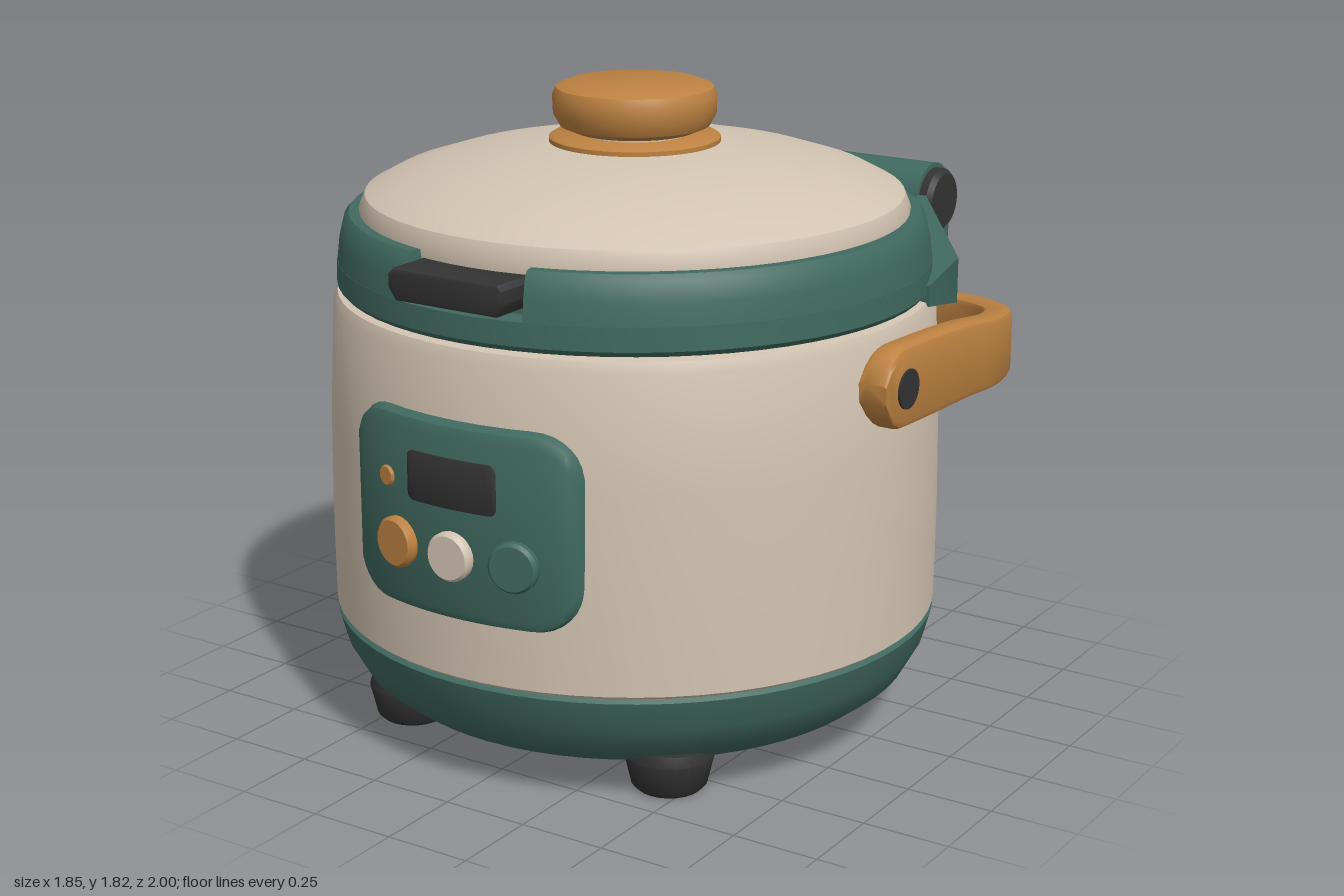
import * as THREE from 'three';
import { toCreasedNormals } from 'three/addons/utils/BufferGeometryUtils.js';

const CZ = 0.08; // z of the pot's axis

const paint = (name, color, side = THREE.FrontSide) => {
  const m = new THREE.MeshStandardMaterial({ color, side });
  m.name = name;
  return m;
};

// Skin over closed loops of points, capped at both ends
function loft(loops) {
  const n = loops[0].length, pos = [], idx = [];
  loops.forEach(l => l.forEach(p => pos.push(p.x, p.y, p.z)));
  for (let i = 0; i < loops.length - 1; i++) {
    for (let j = 0; j < n; j++) {
      const a = i * n + j, b = i * n + (j + 1) % n;
      idx.push(a, b, b + n, a, b + n, a + n);
    }
  }
  const e = (loops.length - 1) * n;
  for (let j = 1; j < n - 1; j++) idx.push(0, j + 1, j, e, e + j, e + j + 1);
  const g = new THREE.BufferGeometry();
  g.setAttribute('position', new THREE.Float32BufferAttribute(pos, 3));
  g.setIndex(idx);
  return g;
}

// How far the curved front falls back at x
const sag = x => 0.89 - Math.sqrt(0.89 * 0.89 - x * x);

// Rounded rectangular plate bent around the front of the pot
function bentPlate(cx, cy, w, h, r, back, front, bevel) {
  const loops = [], steps = 28;
  for (let i = 0; i <= steps; i++) {
    const u = -Math.cos(Math.PI * i / steps) * w / 2;
    const over = Math.max(0, Math.abs(u) - (w / 2 - r));
    const half = h / 2 - r + Math.sqrt(Math.max(0, r * r - over * over));
    const edge = Math.min(1, (w / 2 - Math.abs(u)) / bevel);
    const drop = bevel * (1 - Math.sqrt(1 - (1 - edge) ** 2));
    const x = cx + u, s = sag(x), f = front - s - drop;
    const b = Math.min(bevel, half * 0.5);
    const section = [[half, back - s], [half, f - b], [half - b * 0.3, f - b * 0.3], [half - b, f]];
    const mirrored = section.map(([y, z]) => [-y, z]).reverse();
    loops.push([...section, ...mirrored].map(([y, z]) => new THREE.Vector3(x, cy + y, z)));
  }
  return loft(loops);
}

export function createModel() {
  const model = new THREE.Group();
  model.name = 'riceCooker';
  const green = paint('deep green', 0x40695f, THREE.DoubleSide);
  const cream = paint('cream', 0xd3c4b2);
  const wood = paint('warm wood', 0xbd8241);
  const black = paint('charcoal', 0x333333);

  const add = (name, geo, mat, x = 0, y = 0, z = 0, crease = 0.6) => {
    const mesh = new THREE.Mesh(toCreasedNormals(geo, crease), mat);
    mesh.name = name;
    mesh.position.set(x, y, z);
    model.add(mesh);
    return mesh;
  };
  const turned = (name, pts, mat, start = 0, length = Math.PI * 2) =>
    add(name, new THREE.LatheGeometry(pts.map(p => new THREE.Vector2(...p)), 64, start, length), mat, 0, 0, CZ);

  // Pot
  turned('base', [[0, 0.08], [0.64, 0.08], [0.73, 0.105], [0.8, 0.16], [0.845, 0.24], [0.867, 0.325], [0.855, 0.335], [0.8, 0.335]], green);
  turned('body', [[0.85, 0.33], [0.868, 0.345], [0.87, 0.6], [0.866, 0.9], [0.85, 1.22], [0.838, 1.25], [0.8, 1.255]], cream);
  for (const sx of [-1, 1]) for (const sz of [-1, 1]) {
    const foot = [[0, 0], [0.09, 0], [0.105, 0.015], [0.125, 0.1], [0.115, 0.13], [0, 0.13]];
    add('foot', new THREE.LatheGeometry(foot.map(p => new THREE.Vector2(...p)), 24), black, sx * 0.44, 0, CZ + sz * 0.5);
  }

  // Lid rim, with a notch at the front for the latch
  const notch = 0.235;
  turned('lowerRim', [[0.78, 1.26], [0.825, 1.26], [0.838, 1.275], [0.836, 1.34], [0.76, 1.34]], green);
  const rim = [[0.765, 1.33], [0.836, 1.33], [0.828, 1.4], [0.814, 1.455], [0.8, 1.47], [0.765, 1.47]];
  turned('upperRim', rim, green, notch, Math.PI * 2 - 2 * notch);
  for (const s of [-1, 1]) {
    const end = new THREE.ShapeGeometry(new THREE.Shape(rim.map(p => new THREE.Vector2(...p))));
    add('rimEnd', end, green, 0, 0, CZ).rotation.y = s * notch - Math.PI / 2;
  }
  turned('rimInner', [[0.76, 1.33], [0.76, 1.44]], green);

  // Lid and knob
  turned('lid', [[0.765, 1.43], [0.772, 1.48], [0.755, 1.52], [0.68, 1.56], [0.55, 1.602], [0.4, 1.635], [0.22, 1.658], [0, 1.665]], cream);
  turned('knobCollar', [[0.24, 1.645], [0.24, 1.668], [0.225, 1.677], [0, 1.677]], wood);
  turned('knobNeck', [[0.15, 1.67], [0.15, 1.7]], cream);
  turned('knob', [[0, 1.685], [0.17, 1.685], [0.21, 1.702], [0.228, 1.735], [0.23, 1.785], [0.22, 1.808], [0.19, 1.82], [0, 1.822]], wood);

  // Latch: a wide grip narrowing downwards
  const latch = new THREE.Shape();
  latch.moveTo(-0.155, 0).lineTo(0.155, 0).lineTo(0.175, 0.03).lineTo(0.175, 0.06);
  latch.lineTo(0.165, 0.07).lineTo(-0.165, 0.07).lineTo(-0.175, 0.06).lineTo(-0.175, 0.03);
  add('latch', new THREE.ExtrudeGeometry(latch, { depth: 0.17, bevelSize: 0.008, bevelThickness: 0.01, bevelSegments: 2 }), black, 0, 1.37, 0.785);

  // Control panel
  add('controlPanel', bentPlate(0, 0.785, 0.73, 0.55, 0.13, 0.87, 0.975, 0.035), green);
  add('screen', bentPlate(0.01, 0.898, 0.285, 0.14, 0.022, 0.97, 0.979, 0.004), black);
  const button = (name, x, y, r, depth, mat) => {
    const pts = [[0, 0], [r, 0], [r, depth * 0.7], [r * 0.88, depth], [0, depth]];
    const geo = new THREE.LatheGeometry(pts.map(p => new THREE.Vector2(...p)), 28).rotateX(Math.PI / 2);
    add(name, geo, mat, x, y, 0.967 - sag(x)).rotation.y = Math.asin(x / 0.89);
  };
  button('startButton', -0.17, 0.7, 0.07, 0.033, wood);
  button('menuButton', 0.015, 0.7, 0.068, 0.033, cream);
  button('cancelButton', 0.2, 0.7, 0.07, 0.033, green);
  button('indicator', -0.21, 0.875, 0.028, 0.016, wood);

  // Carrying handle, swept around the back
  const side = [[0.872, 1.105, 0.275], [0.876, 1.1, 0.1], [0.874, 1.085, -0.2], [0.86, 1.06, -0.42],
    [0.79, 1.035, -0.63], [0.65, 1.015, -0.76], [0.44, 0.998, -0.835]];
  const pts = [...side, [0, 0.995, -0.85], ...side.map(([x, y, z]) => [-x, y, z]).reverse()];
  const path = new THREE.CatmullRomCurve3(pts.map(p => new THREE.Vector3(...p)));
  const up = new THREE.Vector3(0, 1, 0), count = 140;
  const corners = [[1, -0.5], [1, 0.5], [0.93, 0.85], [0.8, 1], [-0.8, 1], [-0.93, 0.85],
    [-1, 0.5], [-1, -0.5], [-0.93, -0.85], [-0.8, -1], [0.8, -1], [0.93, -0.85]];
  const loops = [];
  for (let i = 0; i <= count; i++) {
    const p = path.getPointAt(i / count), d = path.getTangentAt(i / count).setY(0).normalize();
    const out = new THREE.Vector3().crossVectors(d, up);
    const round = p.z > 0.16 ? Math.sqrt(Math.max(0.06, 1 - ((p.z - 0.16) / 0.115) ** 2)) : 1;
    const half = (0.095 + 0.02 * THREE.MathUtils.smoothstep(p.z, -0.85, 0.1)) * round;
    loops.push(corners.map(([v, s]) => p.clone().addScaledVector(up, v * half).addScaledVector(out, s * 0.043)));
  }
  add('handle', loft(loops), wood);
  for (const s of [-1, 1]) {
    add('handlePivot', new THREE.CylinderGeometry(0.055, 0.055, 0.1, 24).rotateZ(Math.PI / 2), black, s * 0.873, 1.1, 0.16);
  }

  // Hinge bracket, flaring from the rim to the hinge
  const plan = [[0.815, -0.15], [0.79, -0.37], [0.47, -0.79], [0.44, -0.88]];
  const outline = [...plan, ...plan.map(([x, z]) => [-x, z]).reverse()];
  const bracket = new THREE.ExtrudeGeometry(new THREE.Shape(outline.map(([x, z]) => new THREE.Vector2(x, -z))),
    { depth: 1, bevelEnabled: false }).rotateX(-Math.PI / 2);
  const bp = bracket.attributes.position;
  for (let i = 0; i < bp.count; i++) {
    const t = (-0.15 - bp.getZ(i)) / 0.73;
    bp.setY(i, bp.getY(i) > 0.5 ? 1.3 + 0.1 * t : 1.24 - 0.13 * t);
  }
  add('hingeBracket', bracket, green);

  // Hinge: rounded barrel running down into a flat back plate
  const hinge = new THREE.Shape();
  hinge.moveTo(1, 0.9).lineTo(1, 1.36).absarc(0.89, 1.36, 0.11, 0, Math.PI * 1.35, false);
  hinge.lineTo(0.875, 1.24).lineTo(0.875, 0.9);
  add('hinge', new THREE.ExtrudeGeometry(hinge, { depth: 0.88, bevelEnabled: false, curveSegments: 24 })
    .translate(0, 0, -0.44).rotateY(Math.PI / 2), green);
  for (const s of [-1, 1]) {
    const cap = [[0, 0], [0.096, 0], [0.096, 0.04], [0.082, 0.055], [0, 0.055]];
    const geo = new THREE.LatheGeometry(cap.map(p => new THREE.Vector2(...p)), 28).rotateZ(-s * Math.PI / 2);
    add('hingeCap', geo, black, s * 0.425, 1.36, -0.89);
  }
  return model;
}
